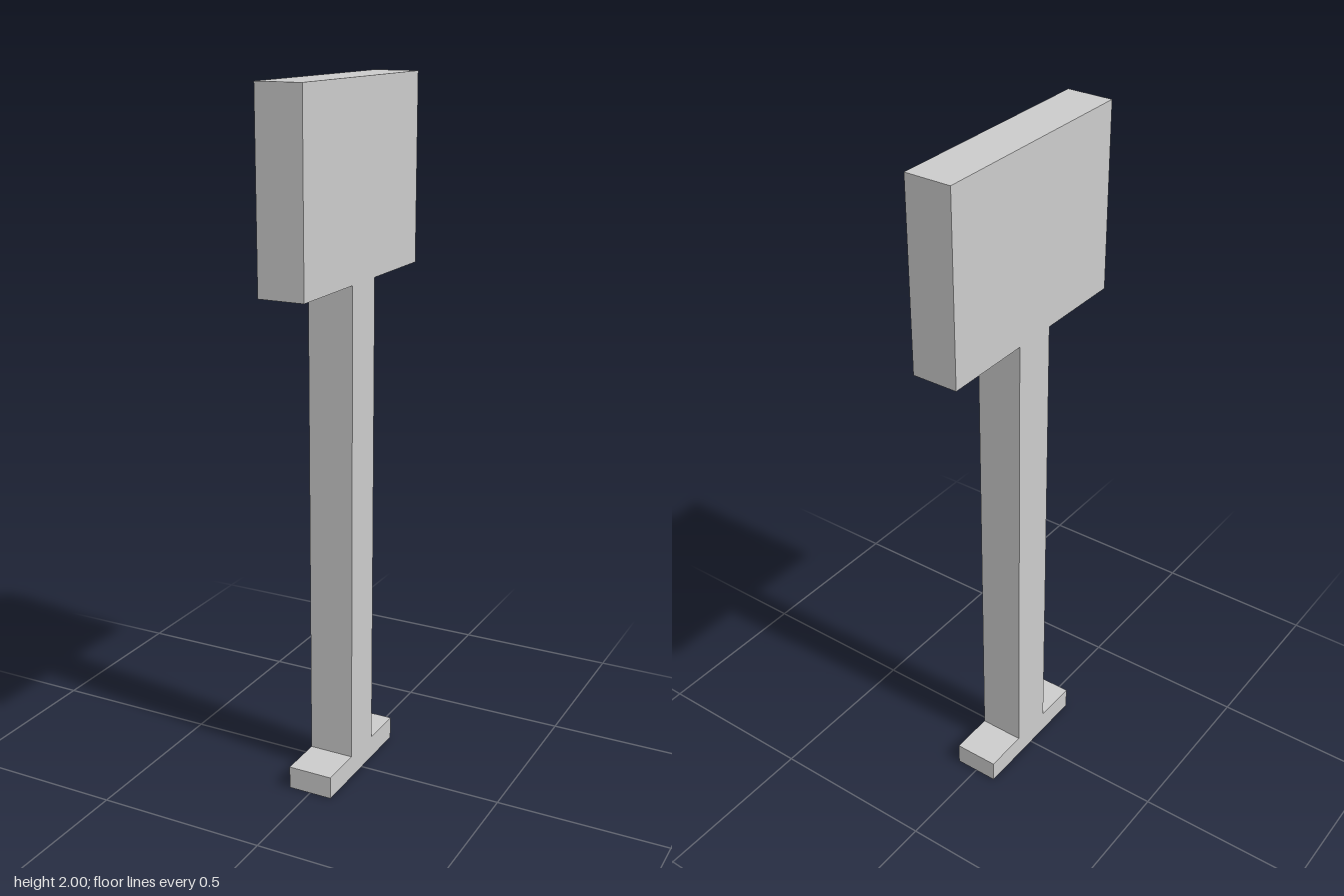
import * as THREE from 'three';

const THICKNESS = 0.1333;

export function createModel() {
  const model = new THREE.Group();
  model.name = 'signPost';
  const material = new THREE.MeshStandardMaterial({ color: 0xcccccc, flatShading: true });

  // Adds a slab of the shared thickness, from height y0 to y1, centred in z
  const addSlab = (name, y0, y1, depth) => {
    const mesh = new THREE.Mesh(new THREE.BoxGeometry(THICKNESS, y1 - y0, depth), material);
    mesh.position.y = (y0 + y1) / 2;
    mesh.name = name;
    model.add(mesh);
  };

  addSlab('base', 0, 0.0667, 0.4);
  addSlab('post', 0.0667, 1.4667, THICKNESS);
  addSlab('panel', 1.4667, 2, 0.6667);

  return model;
}
